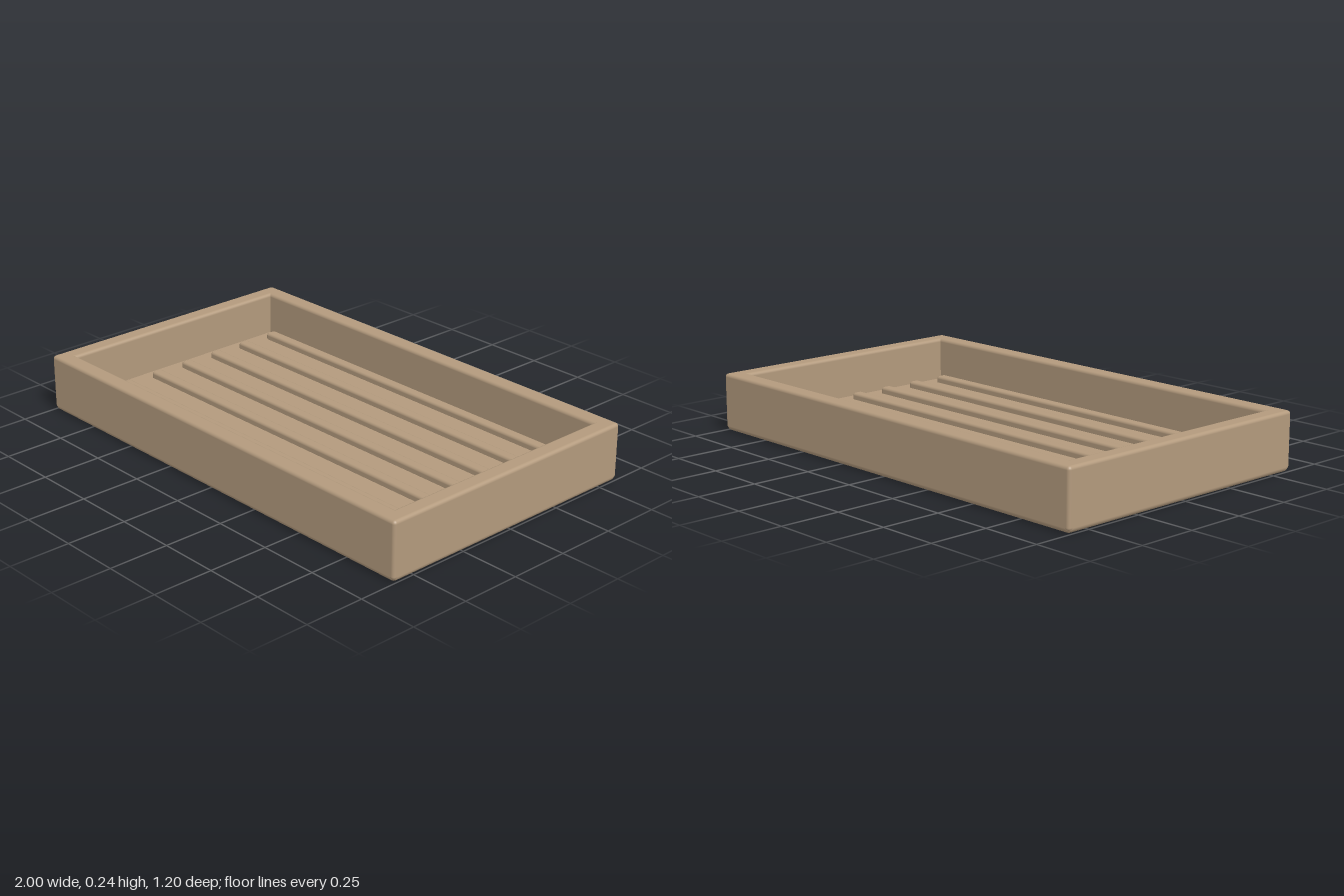
import * as THREE from 'three';
import { RoundedBoxGeometry } from 'three/addons/geometries/RoundedBoxGeometry.js';

const WIDTH = 2, DEPTH = 1.195, HEIGHT = 0.24, WALL = 0.073, FLOOR = 0.06;

export function createModel() {
  const tray = new THREE.Group();
  tray.name = 'tray';
  const clay = new THREE.MeshStandardMaterial({ color: 0xb39a7d });
  clay.name = 'warm tan';

  // Rounded block given by its size and centre
  const block = (name, w, h, d, x, y, z, radius) => {
    const mesh = new THREE.Mesh(new RoundedBoxGeometry(w, h, d, 3, radius), clay);
    mesh.name = name;
    mesh.position.set(x, y, z);
    tray.add(mesh);
  };

  // Floor slab
  block('base', WIDTH, FLOOR, DEPTH, 0, FLOOR / 2, 0, 0.02);

  // Rim walls, overlapping at the corners
  const wallBottom = 0.008;
  const wallHeight = HEIGHT - wallBottom;
  const wallY = wallBottom + wallHeight / 2;
  for (const [side, s] of [['left', 1], ['right', -1]])
    block(side + 'Wall', WALL, wallHeight, DEPTH, s * (WIDTH - WALL) / 2, wallY, 0, 0.014);
  for (const [side, s] of [['front', 1], ['back', -1]])
    block(side + 'Wall', WIDTH, wallHeight, WALL, 0, wallY, s * (DEPTH - WALL) / 2, 0.014);

  // Raised drainage ribs, partly sunk in the floor
  for (let i = -3; i <= 3; i++)
    block('rib' + (i + 4), 1.76, 0.04, 0.047, 0, FLOOR + 0.008, i * 0.16, 0.012);

  return tray;
}
